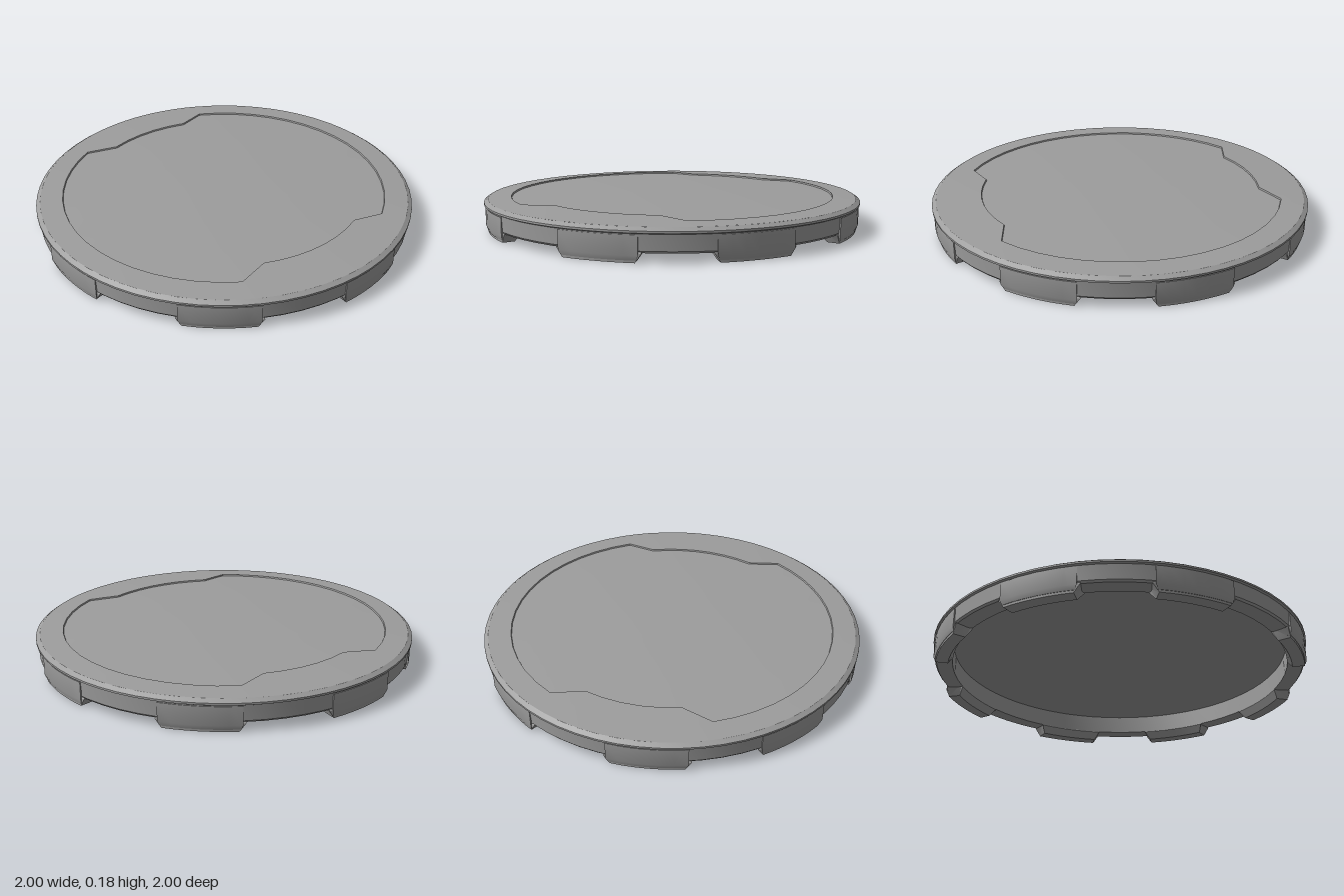
import * as THREE from 'three';
import { toCreasedNormals } from 'three/addons/utils/BufferGeometryUtils.js';

const RAD = Math.PI / 180;
const material = new THREE.MeshStandardMaterial({ color: 0x9d9d9d });

function mesh(name, geometry) {
  const m = new THREE.Mesh(toCreasedNormals(geometry, 0.45), material);
  m.name = name;
  return m;
}

// Skin a grid of points, grid[profile step][angle step]; optional end caps.
function skin(grid, capped = false) {
  const pos = [];
  const tri = (a, b, c) => pos.push(...a, ...b, ...c);
  for (let i = 0; i < grid.length - 1; i++) {
    for (let j = 0; j < grid[0].length - 1; j++) {
      const a = grid[i][j], b = grid[i][j + 1], c = grid[i + 1][j + 1], d = grid[i + 1][j];
      tri(a, b, d);
      tri(b, c, d);
    }
  }
  if (capped) {
    const last = grid[0].length - 1;
    for (let i = 1; i < grid.length - 2; i++) {
      tri(grid[0][0], grid[i][0], grid[i + 1][0]);
      tri(grid[0][last], grid[i + 1][last], grid[i][last]);
    }
  }
  const g = new THREE.BufferGeometry();
  g.setAttribute('position', new THREE.Float32BufferAttribute(pos, 3));
  return g;
}

const polar = (r, y, deg) => [r * Math.cos(deg * RAD), y, r * Math.sin(deg * RAD)];

// Corners of the recessed panel outline: angle, radius
const outline = [
  [18.4, 0.855], [27.3, 0.743], [74.3, 0.738], [83.3, 0.855],
  [203.3, 0.86], [212.4, 0.746], [249.6, 0.747], [258.6, 0.857], [378.4, 0.855],
];

// Gently domed top with a shallow recessed panel notched on two sides
function topGeometry() {
  const samples = [];
  outline.slice(0, -1).forEach(([a, r], k) => {
    const [a2, r2] = outline[k + 1];
    const steps = a2 - a < 12 ? 2 : Math.ceil((a2 - a) / 7.5);
    for (let s = 0; s < steps; s++) {
      const t = s / steps, deg = a + (a2 - a) * t;
      // short slanted edges are straight; long ones are arcs
      if (steps === 2) {
        const p = polar(r, 0, a), q = polar(r2, 0, a2);
        const x = p[0] + (q[0] - p[0]) * t, z = p[2] + (q[2] - p[2]) * t;
        samples.push([Math.atan2(z, x) / RAD, Math.hypot(x, z)]);
      } else samples.push([deg, r + (r2 - r) * t]);
    }
  });
  samples.push(samples[0]);
  const dome = (r) => 0.188 - 0.027 * r * r;
  const ring = (radius, drop) => samples.map(([a, r]) => {
    const rr = radius(r);
    return polar(rr, dome(rr) - drop, a);
  });
  const depth = 0.008;
  return skin([
    ...[0, 0.25, 0.5, 0.75, 1].map((t) => ring((r) => r * t, depth)),
    ring((r) => r + 0.003, 0),
    ring((r) => (r + 0.975) / 2, 0),
    ring(() => 0.978, 0),
  ]);
}

// Closed block bent around the rim; section points are radius, height, half angle
function arcBlock(name, centre, section) {
  const grid = [...section, section[0]].map(([r, y, half]) =>
    Array.from({ length: 7 }, (_, j) => polar(r, y, centre + half * (j / 3 - 1))));
  return mesh(name, skin(grid, true));
}

// Clip tab: a thin pad on the outer wall and a tapered foot below the rim
function clipTab(centre) {
  const tab = new THREE.Group();
  tab.name = 'clipTab';
  tab.add(arcBlock('pad', centre, [
    [0.97, 0.128, 11.2], [0.993, 0.128, 11.2], [0.993, 0.035, 11.2],
    [0.985, 0.012, 10.7], [0.97, 0.012, 10.7],
  ]));
  tab.add(arcBlock('foot', centre, [
    [0.9, 0.06, 12], [0.975, 0.06, 12], [0.985, 0.042, 12],
    [0.982, 0, 10.3], [0.918, 0, 10.3], [0.893, 0.042, 12],
  ]));
  return tab;
}

export function createModel() {
  const group = new THREE.Group();
  group.name = 'roundCap';

  // Hollow rim: underside floor, inner wall, outer wall, lip and bevel
  const profile = [
    [0, 0.145], [0.895, 0.145], [0.895, 0.045], [0.978, 0.045], [0.986, 0.055],
    [0.99, 0.132], [1, 0.137], [1, 0.147], [0.978, 0.162], [0.96, 0.158],
  ].map(([r, y]) => new THREE.Vector2(r, y));
  group.add(mesh('rim', new THREE.LatheGeometry(profile, 64)));

  group.add(mesh('topPanel', topGeometry()));

  // Eight clip tabs around the rim
  [0, 42.7, 90, 137.3, 180, 222.7, 270, 317.3].forEach((a) => group.add(clipTab(a)));
  return group;
}
